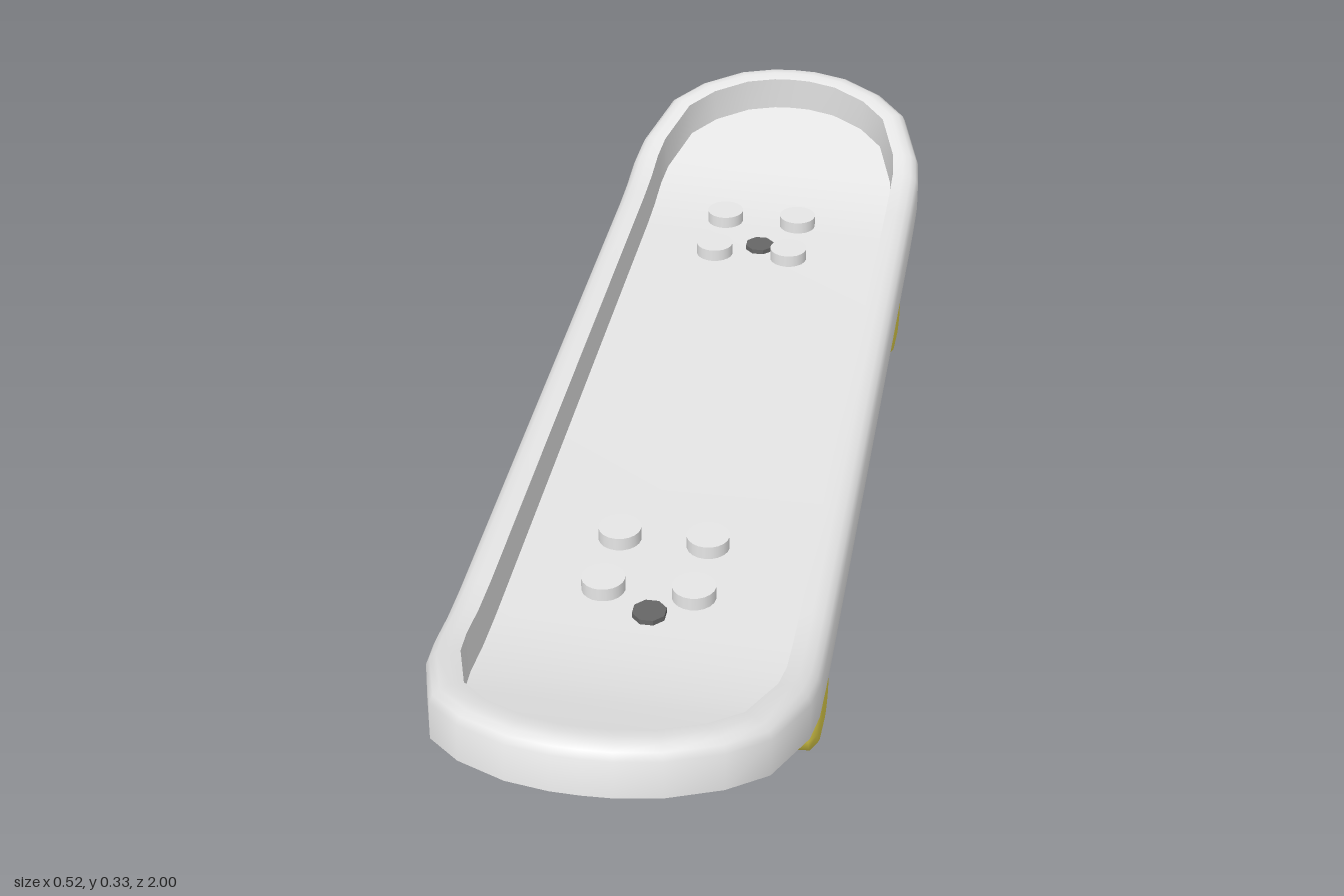
import * as THREE from 'three';
import { toCreasedNormals } from 'three/addons/utils/BufferGeometryUtils.js';

const grey = new THREE.MeshStandardMaterial({ name: 'light grey', color: 0xe6e6e6 });
const dark = new THREE.MeshStandardMaterial({ name: 'dark grey', color: 0x666666 });
const yellow = new THREE.MeshStandardMaterial({ name: 'yellow', color: 0xe4d44c });

const HALF_W = 0.262, END = 0.28, STRAIGHT = 0.72, BASE = 0.181;

// One quarter of the deck outline, from the middle of the side to the tip.
const quarter = [
  [0.262, 0], [0.262, 0.58], [0.262, 0.65], [0.262, 0.72], [0.256, 0.78],
  [0.22, 0.893], [0.17, 0.945], [0.1, 0.984], [0.04, 0.998], [0, 1],
];
const M = quarter.length - 1, N = 4 * M;

// Rim section: [inset from the outline, height above the underside]
const rim = [
  [0, 0], [0, 0.052], [0.005, 0.063], [0.014, 0.07], [0.028, 0.074],
  [0.046, 0.074], [0.05, 0.015],
];

// Lifts the nose and tail, tilting the thickness a little with the slope.
function bend(x, z, h) {
  const a = Math.abs(z), slope = 0.28, tilt = 0.14, from = 0.58, to = 0.8;
  const t = Math.min(Math.max((a - from) / (to - from), 0), 1);
  const lift = slope * (t * t * (to - from) / 2 + Math.max(a - to, 0));
  return [x, BASE + lift + h, z - Math.sign(z) * tilt * t * h];
}

function ringPoint(i, inset) {
  const k = i % (2 * M);
  const [qx, qz] = quarter[k <= M ? k : 2 * M - k];
  const x = qx * (HALF_W - inset) / HALF_W;
  const z = qz <= STRAIGHT ? qz : STRAIGHT + (qz - STRAIGHT) * (END - inset) / END;
  return [i <= M || i >= 3 * M ? x : -x, i <= 2 * M ? z : -z];
}

function deckGeometry() {
  const pos = [], index = [];
  for (const [inset, h] of rim) {
    for (let i = 0; i < N; i++) {
      const [x, z] = ringPoint(i, inset);
      pos.push(...bend(x, z, h));
    }
  }
  // rim
  for (let j = 0; j < rim.length - 1; j++) {
    for (let i = 0; i < N; i++) {
      const a = j * N + i, b = j * N + (i + 1) % N;
      index.push(a, a + N, b, b, a + N, b + N);
    }
  }
  // floor and underside, as strips across the deck
  const strips = (base, up) => {
    const tri = (a, b, c) => index.push(base + a, base + (up ? b : c), base + (up ? c : b));
    for (let i = -M; i < M; i++) {
      const p = (i + N) % N, q = (i + 1 + N) % N;
      const pm = (2 * M - i) % N, qm = (2 * M - i - 1) % N;
      if (i > -M) tri(p, pm, q);
      if (i < M - 1) tri(q, pm, qm);
    }
  };
  strips((rim.length - 1) * N, true);
  strips(0, false);

  const g = new THREE.BufferGeometry();
  g.setAttribute('position', new THREE.Float32BufferAttribute(pos, 3));
  g.setIndex(index);
  return toCreasedNormals(g, 0.75);
}

function part(name, geometry, material, x = 0, y = 0, z = 0) {
  const mesh = new THREE.Mesh(geometry, material);
  mesh.name = name;
  mesh.position.set(x, y, z);
  return mesh;
}

export function createModel() {
  const model = new THREE.Group();
  model.name = 'skateboard';
  model.add(part('deck', deckGeometry(), grey));

  // Soft barrel wheel with domed faces, turned about the x axis
  const profile = [
    [0, -0.072], [0.034, -0.071], [0.06, -0.067], [0.074, -0.056], [0.076, -0.03],
    [0.076, 0.03], [0.074, 0.056], [0.06, 0.067], [0.034, 0.071], [0, 0.072],
  ].map(([r, y]) => new THREE.Vector2(r, y));
  const wheel = new THREE.LatheGeometry(profile, 20).rotateZ(Math.PI / 2);
  const axle = new THREE.CylinderGeometry(0.0245, 0.0245, 0.26, 16).rotateZ(Math.PI / 2);
  const post = toCreasedNormals(
    new THREE.CylinderGeometry(0.025, 0.025, 0.108, 8).rotateY(Math.PI / 8), 0.5);
  const bolt = new THREE.CylinderGeometry(0.031, 0.031, 0.02, 20);

  // Trucks
  for (const [name, z] of [['front', 0.543], ['rear', -0.527]]) {
    const truck = new THREE.Group();
    truck.name = name + 'Truck';
    truck.position.z = z;
    truck.add(part('axle', axle, dark, 0, 0.0795, 0), part('post', post, dark, 0, 0.15, 0));
    for (const s of [1, -1]) {
      truck.add(part(s > 0 ? 'leftWheel' : 'rightWheel', wheel, yellow, s * 0.18, 0.077, 0));
    }
    model.add(truck);
  }

  // Bolt heads
  for (const z of [0.545, 0.425, -0.425, -0.545]) {
    for (const x of [0.064, -0.064]) model.add(part('bolt', bolt, grey, x, 0.247, z));
  }
  return model;
}
